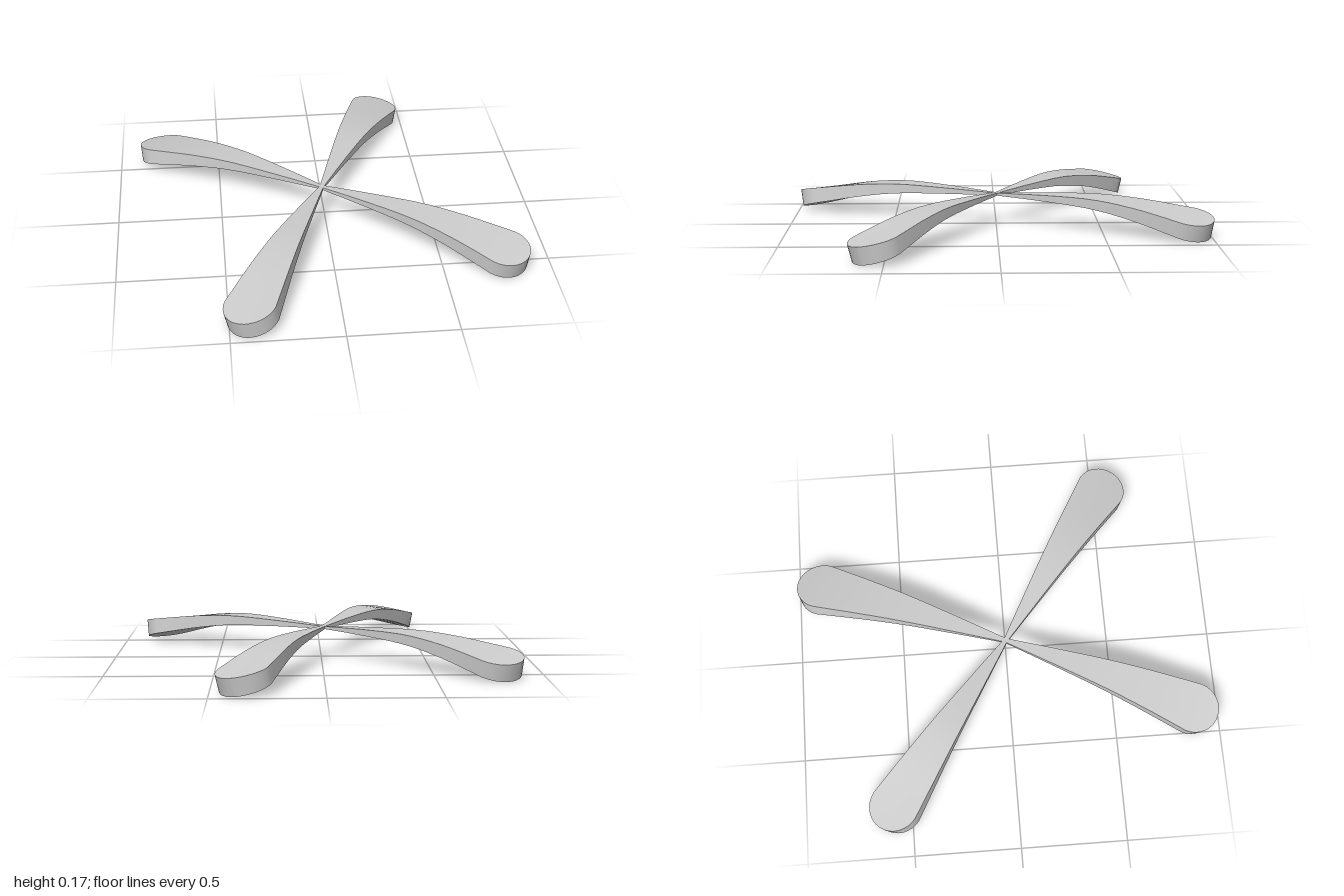
import * as THREE from 'three';

const BODY = 16, CAP = 8;          // stations along the taper and round the tip
const CAP_START = 0.95, CAP_RADIUS = 0.12;

// Centre line of one arm: x is the distance from the hub, y the height
const spine = new THREE.SplineCurve([
  [0, 0.148], [0.25, 0.151], [0.5, 0.147], [0.7, 0.124], [0.9, 0.086], [1.07, 0.05],
].map(([x, y]) => new THREE.Vector2(x, y)));

// Height and slope of the centre line at distance s
function spineAt(s) {
  let lo = 0, hi = 1;
  for (let i = 0; i < 30; i++) {
    const mid = (lo + hi) / 2;
    if (spine.getPoint(mid).x < s) lo = mid; else hi = mid;
  }
  const tangent = spine.getTangent(lo);
  return { y: spine.getPoint(lo).y, slope: Math.atan2(tangent.y, tangent.x) };
}

// Distance and half width of station i: straight taper, then a half-round tip
function station(i) {
  if (i <= BODY) {
    const s = CAP_START * i / BODY;
    return { s, w: 0.01 + 0.11 * s / CAP_START };
  }
  const a = (i - BODY) / CAP * Math.PI / 2;
  return { s: CAP_START + CAP_RADIUS * Math.sin(a), w: Math.max(0.002, CAP_RADIUS * Math.cos(a)) };
}

// A box bent along the spine, widened, thickened and rolled towards the tip
function armGeometry() {
  const count = BODY + CAP;
  const geo = new THREE.BoxGeometry(1, 1, 1, count, 1, 4);
  const p = geo.attributes.position;
  for (let v = 0; v < p.count; v++) {
    const { s, w } = station(Math.round((p.getX(v) + 0.5) * count));
    const { y, slope } = spineAt(s);
    const roll = 0.13 * s * s;
    const side = p.getZ(v) * 2 * w;
    const up = p.getY(v) * 2 * (0.006 + 0.034 * s);
    const lift = up * Math.cos(roll) - side * Math.sin(roll);
    p.setXYZ(v,
      s - lift * Math.sin(slope),
      y + lift * Math.cos(slope),
      side * Math.cos(roll) + up * Math.sin(roll));
  }
  geo.computeVertexNormals();
  return geo;
}

export function createModel() {
  const model = new THREE.Group();
  model.name = 'fourArmBase';
  const material = new THREE.MeshStandardMaterial({ color: 0xcccccc });
  const geometry = armGeometry();
  geometry.computeBoundingBox();
  const floor = geometry.boundingBox.min.y;

  // Arms meet at the hub in a slightly skewed cross
  [67.7, 143.1, 246, 325.8].forEach((degrees, i) => {
    const arm = new THREE.Mesh(geometry, material);
    arm.name = `arm${i + 1}`;
    arm.rotation.y = THREE.MathUtils.degToRad(degrees);
    arm.position.set(-0.012, -floor, 0);
    model.add(arm);
  });
  return model;
}
